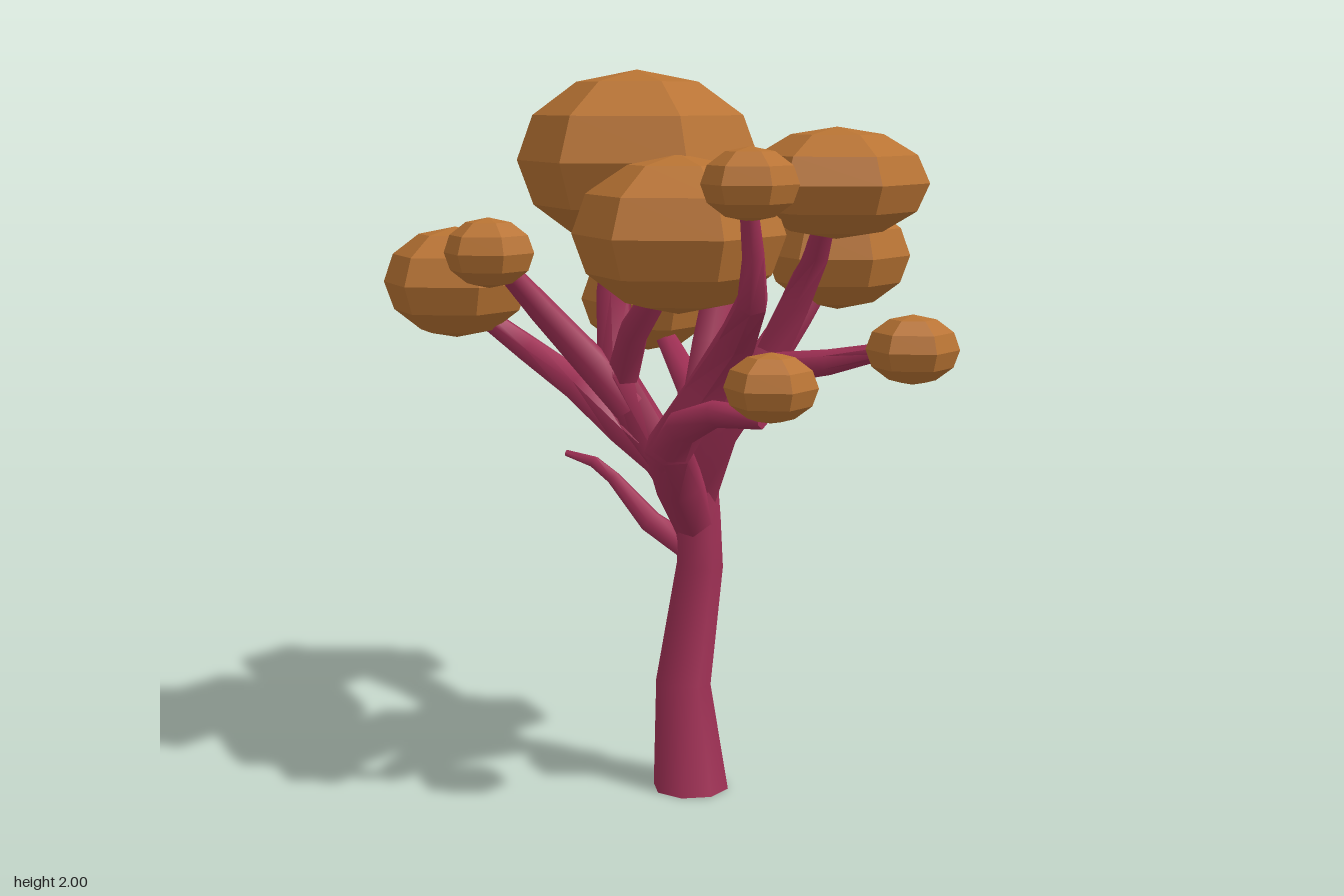
import * as THREE from 'three';
import { toCreasedNormals } from 'three/addons/utils/BufferGeometryUtils.js';

const bark = new THREE.MeshStandardMaterial({ color: 0xa03055 });
const leaf = new THREE.MeshStandardMaterial({ color: 0xb87333, flatShading: true });

// Tapering limb: points are [x, y, z, radius], joined by rings of `sides` corners
function limb(name, points, sides = 6) {
  const centres = points.map(p => new THREE.Vector3(p[0], p[1], p[2]));
  const last = centres.length - 1;
  const pos = [], index = [];
  centres.forEach((c, i) => {
    const axis = centres[Math.min(i + 1, last)].clone().sub(centres[Math.max(i - 1, 0)]).normalize();
    if (c.y === 0) axis.set(0, 1, 0); // flat foot on the ground
    const turn = new THREE.Quaternion().setFromUnitVectors(new THREE.Vector3(0, 1, 0), axis);
    for (let k = 0; k < sides; k++) {
      const a = ((k + 0.5) / sides) * Math.PI * 2, r = points[i][3];
      const v = new THREE.Vector3(Math.sin(a) * r, 0, Math.cos(a) * r).applyQuaternion(turn).add(c);
      pos.push(v.x, v.y, v.z);
    }
  });
  for (let i = 0; i < last; i++) {
    for (let k = 0; k < sides; k++) {
      const a = i * sides + k, b = i * sides + (k + 1) % sides;
      index.push(a, b, b + sides, a, b + sides, a + sides);
    }
  }
  // end caps
  const top = last * sides;
  for (let k = 1; k < sides - 1; k++) {
    index.push(0, k + 1, k, top, top + k, top + k + 1);
  }
  const geo = new THREE.BufferGeometry();
  geo.setAttribute('position', new THREE.Float32BufferAttribute(pos, 3));
  geo.setIndex(index);
  // sides stay smooth, caps stay sharp
  const mesh = new THREE.Mesh(toCreasedNormals(geo, 1.1), bark);
  mesh.name = name;
  return mesh;
}

export function createModel() {
  const tree = new THREE.Group();
  tree.name = 'tree';

  // Trunk
  tree.add(limb('trunk', [
    [0, 0, 0.03, 0.108], [-0.03, 0.3, 0.024, 0.079], [0.005, 0.64, -0.008, 0.066],
    [0.002, 0.78, 0.0, 0.066], [0.005, 0.9, 0.01, 0.06],
  ], 8));

  // Main boughs and the branches that carry the foliage
  const branches = {
    twig: [[-0.02, 0.68, 0, 0.04], [-0.14, 0.75, 0.03, 0.034], [-0.24, 0.87, 0.07, 0.02],
      [-0.3, 0.91, 0.08, 0.018], [-0.385, 0.93, 0.1, 0.01]],
    // left front: forks into a low stub and a long rising branch
    frontBough: [[0, 0.76, 0.01, 0.06], [0.04, 0.9, 0.14, 0.068], [0.09, 1.01, 0.255, 0.068],
      [0.18, 1.16, 0.22, 0.062], [0.31, 1.32, 0.25, 0.055], [0.44, 1.43, 0.38, 0.042],
      [0.47, 1.55, 0.42, 0.03], [0.475, 1.68, 0.45, 0.024]],
    frontStub: [[0.08, 0.99, 0.25, 0.06], [0.16, 1.08, 0.29, 0.048], [0.28, 1.13, 0.31, 0.036],
      [0.42, 1.13, 0.3, 0.028]],
    // right front: one stem with four offshoots
    rightBough: [[0, 0.82, 0.02, 0.06], [-0.07, 1.0, 0.11, 0.062], [-0.14, 1.18, 0.18, 0.056],
      [-0.18, 1.4, 0.14, 0.05], [-0.16, 1.65, 0.12, 0.038]],
    rightBranch: [[-0.02, 0.92, 0.07, 0.06], [-0.14, 1.03, 0.14, 0.055], [-0.28, 1.14, 0.17, 0.05],
      [-0.45, 1.23, 0.18, 0.04], [-0.59, 1.36, 0.28, 0.025]],
    frontRightBranch: [[-0.11, 1.1, 0.16, 0.052], [-0.18, 1.22, 0.24, 0.047], [-0.26, 1.37, 0.35, 0.038],
      [-0.29, 1.5, 0.48, 0.026]],
    middleBranch: [[-0.13, 1.17, 0.17, 0.05], [-0.05, 1.31, 0.22, 0.044], [0.05, 1.41, 0.26, 0.038],
      [0.13, 1.55, 0.28, 0.026]],
    // back right
    backBough: [[0, 0.78, 0, 0.06], [-0.05, 0.99, -0.08, 0.068], [-0.1, 1.22, -0.21, 0.062],
      [-0.1, 1.42, -0.28, 0.06], [-0.16, 1.58, -0.32, 0.048], [-0.22, 1.72, -0.33, 0.026]],
    backRightBranch: [[-0.05, 1.0, -0.09, 0.056], [-0.2, 1.09, -0.25, 0.046], [-0.35, 1.18, -0.36, 0.037],
      [-0.47, 1.28, -0.42, 0.022]],
    // back left: a stem that splits three ways
    leftBough: [[0.01, 0.84, 0, 0.055], [0.09, 1.03, 0.02, 0.06], [0.19, 1.2, -0.03, 0.06],
      [0.26, 1.35, -0.1, 0.052], [0.32, 1.48, -0.18, 0.03]],
    leftBranch: [[0.16, 1.14, 0, 0.05], [0.29, 1.22, 0.02, 0.042], [0.42, 1.24, -0.01, 0.034],
      [0.62, 1.29, 0, 0.02]],
    upperLeftBranch: [[0.2, 1.21, -0.04, 0.05], [0.28, 1.38, -0.06, 0.046], [0.36, 1.52, -0.04, 0.038],
      [0.44, 1.66, 0.02, 0.025]],
  };
  for (const [name, points] of Object.entries(branches)) tree.add(limb(name, points));

  // Foliage: flattened six-sided balls [x, y, z, radius, half height]
  const ball = new THREE.SphereGeometry(1, 6, 6).rotateY(Math.PI / 2);
  const clumps = [
    [-0.11, 1.76, 0.12, 0.329, 0.24],
    [-0.3, 1.76, -0.302, 0.239, 0.18],
    [-0.49, 1.32, -0.425, 0.205, 0.155],
    [-0.607, 1.42, 0.305, 0.205, 0.154],
    [-0.305, 1.527, 0.505, 0.12, 0.092],
    [0.143, 1.58, 0.28, 0.278, 0.205],
    [0.46, 1.71, 0.025, 0.238, 0.143],
    [0.323, 1.505, -0.207, 0.195, 0.147],
    [0.677, 1.293, 0, 0.12, 0.09],
    [0.478, 1.722, 0.447, 0.12, 0.09],
    [0.444, 1.21, 0.3, 0.12, 0.09],
  ];
  const foliage = new THREE.Group();
  foliage.name = 'foliage';
  clumps.forEach(([x, y, z, r, h], i) => {
    const clump = new THREE.Mesh(ball, leaf);
    clump.name = `leafClump${i + 1}`;
    clump.position.set(x, y, z);
    clump.scale.set(r, h, r);
    foliage.add(clump);
  });
  tree.add(foliage);
  return tree;
}
